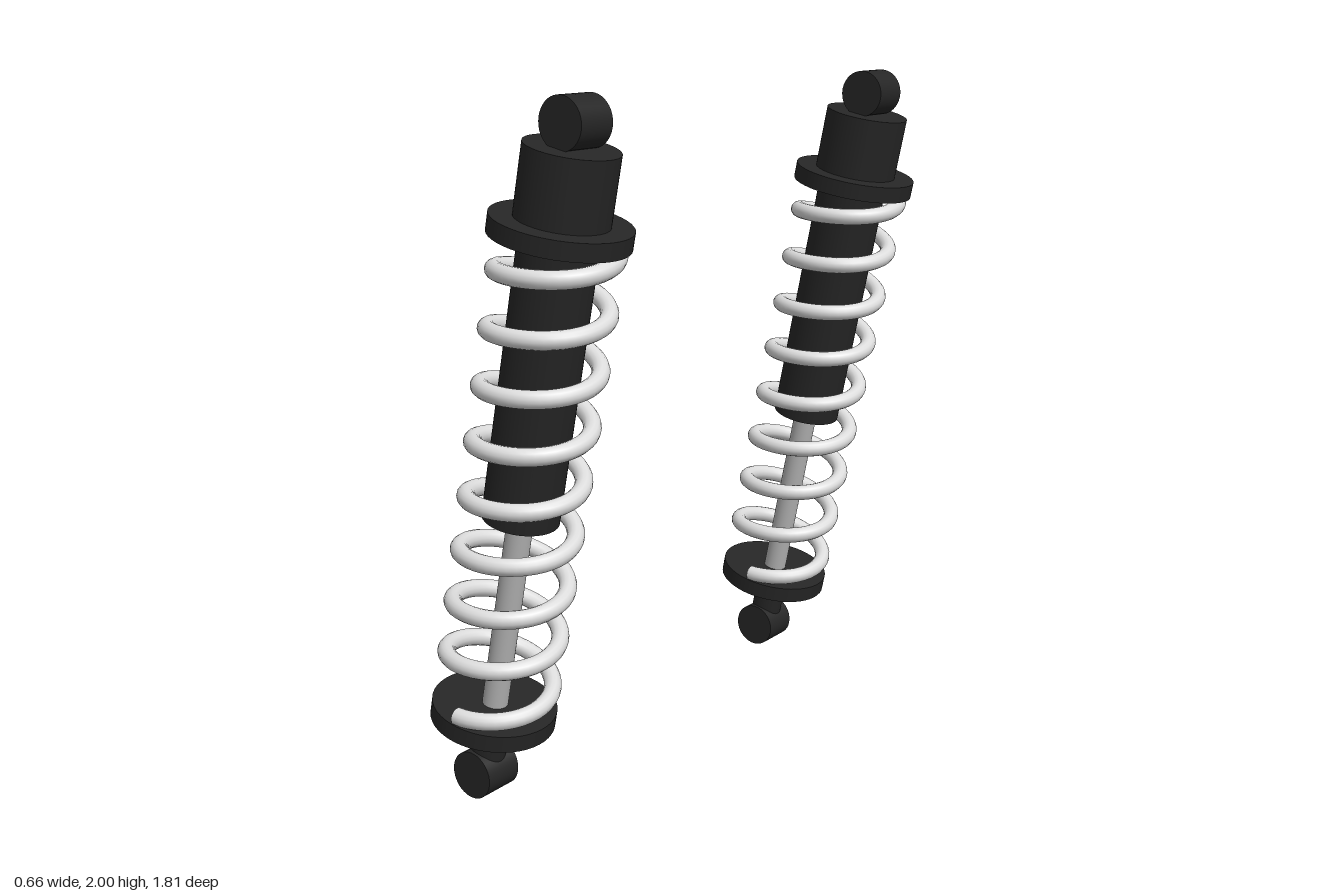
import * as THREE from 'three';

const black = new THREE.MeshStandardMaterial({ color: 0x262626 });
black.name = 'black';
const steel = new THREE.MeshStandardMaterial({ color: 0xb8b8b8 });
steel.name = 'rodSteel';
const silver = new THREE.MeshStandardMaterial({ color: 0xdcdcdc });
silver.name = 'springSilver';

const LENGTH = 1.898; // between eye centres
const TILT = 0.202;

// Right-handed spring path around the y axis
class Helix extends THREE.Curve {
  constructor(radius, y0, pitch, turns) {
    super();
    Object.assign(this, { radius, y0, pitch, turns });
  }
  getPoint(t, target = new THREE.Vector3()) {
    const a = -Math.PI / 2 + t * this.turns * Math.PI * 2;
    return target.set(
      this.radius * Math.cos(a),
      this.y0 + this.pitch * this.turns * t,
      -this.radius * Math.sin(a)
    );
  }
}

function add(parent, name, geometry, material) {
  const mesh = new THREE.Mesh(geometry, material);
  mesh.name = name;
  parent.add(mesh);
  return mesh;
}

// Cylinder on the shock axis from height y0 to y1
function rod(parent, name, radius, y0, y1, material) {
  const mesh = add(parent, name, new THREE.CylinderGeometry(radius, radius, y1 - y0, 48), material);
  mesh.position.y = (y0 + y1) / 2;
}

// Mounting eye, a short cylinder lying along z
function eye(parent, name, y) {
  const geometry = new THREE.CylinderGeometry(0.07, 0.07, 0.12, 40).rotateX(Math.PI / 2);
  add(parent, name, geometry, black).position.y = y;
}

function createShock() {
  const shock = new THREE.Group();

  // Lower mount
  eye(shock, 'lowerEye', 0);
  rod(shock, 'lowerStem', 0.05, 0, 0.19, black);
  rod(shock, 'lowerSpringSeat', 0.178, 0.172, 0.222, black);

  // Piston rod and damper body
  rod(shock, 'pistonRod', 0.037, 0.2, 0.85, steel);
  rod(shock, 'damperBody', 0.107, 0.805, 1.62, black);

  // Upper mount
  rod(shock, 'upperSpringSeat', 0.189, 1.595, 1.645, black);
  rod(shock, 'topCap', 0.127, 1.62, 1.835, black);
  eye(shock, 'upperEye', LENGTH);

  // Coil spring with closed ends
  const path = new Helix(0.155, 0.237, 0.16, 8.5);
  add(shock, 'coilSpring', new THREE.TubeGeometry(path, 360, 0.025, 14), silver);
  for (const t of [0, 1]) {
    const end = add(shock, 'springEnd', new THREE.CircleGeometry(0.025, 14), silver);
    const outward = path.getTangent(t).multiplyScalar(t ? 1 : -1);
    end.position.copy(path.getPoint(t));
    end.quaternion.setFromUnitVectors(new THREE.Vector3(0, 0, 1), outward);
  }
  return shock;
}

export function createModel() {
  const model = new THREE.Group();
  model.name = 'shockAbsorberPair';
  for (const side of [1, -1]) {
    const shock = createShock();
    shock.name = side > 0 ? 'frontShock' : 'backShock';
    shock.rotation.z = -TILT;
    shock.position.set(-0.19, 0.07, side * 0.714);
    model.add(shock);
  }
  return model;
}
